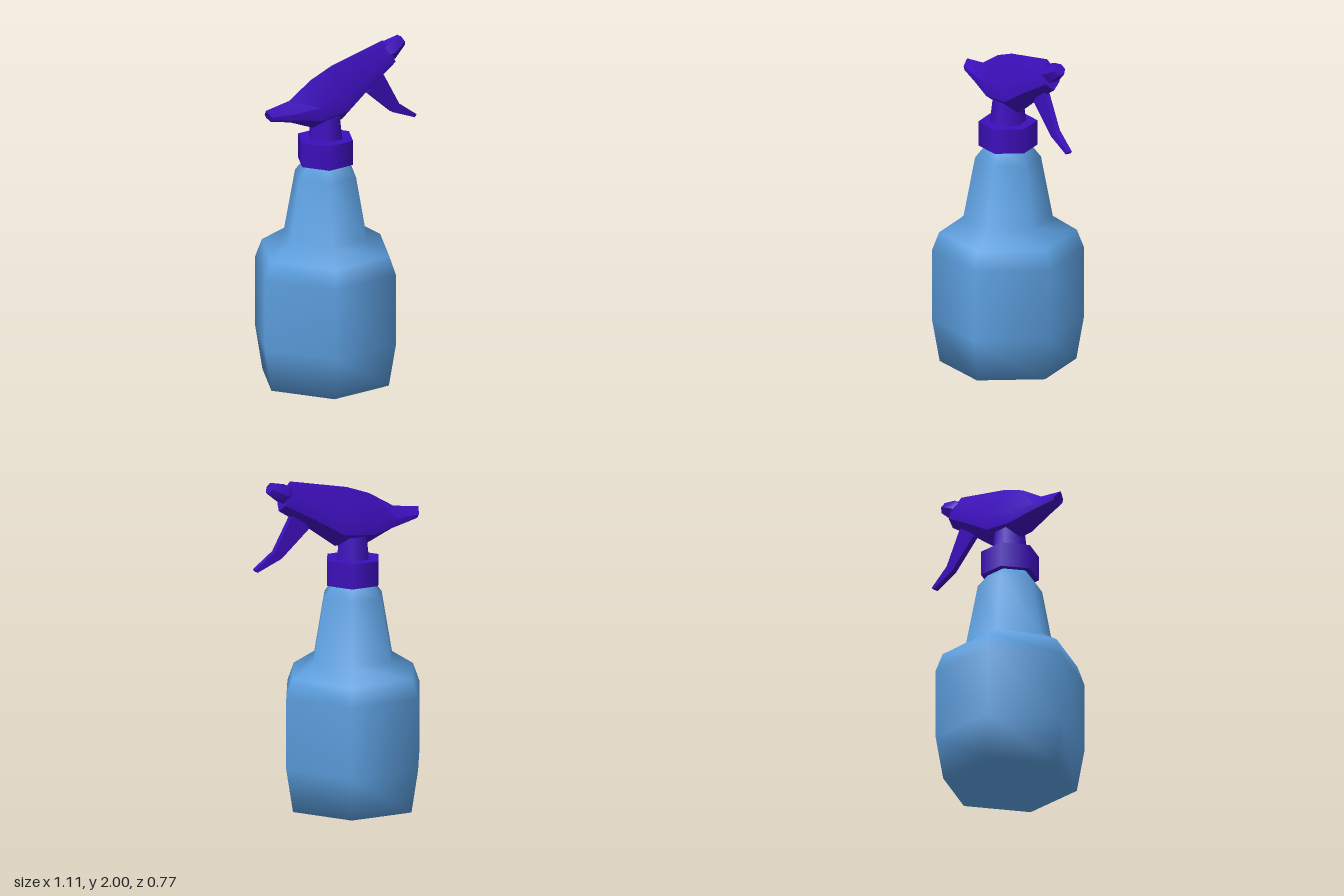
import * as THREE from 'three';
import { toCreasedNormals } from 'three/addons/utils/BufferGeometryUtils.js';

const purple = new THREE.MeshStandardMaterial({ color: 0x3d0fbc });
purple.name = 'purple plastic';
const blue = new THREE.MeshStandardMaterial({ color: 0x5c9fdf });
blue.name = 'blue plastic';

const AXIS_X = -0.11; // bottle axis
const SIDES = 6;
const toPoints = list => list.map(([x, y]) => new THREE.Vector2(x, y));

// Hexagonal ring with corners on the x axis
function hexPrism(topRadius, bottomRadius, y0, y1) {
  const g = new THREE.CylinderGeometry(topRadius, bottomRadius, y1 - y0, SIDES, 1, false, Math.PI / 2);
  return g.translate(AXIS_X, (y0 + y1) / 2, 0);
}

// Ridged six-sided sections, each [topX, topY, bottomX, bottomY, halfWidth]
function loftHead(sections) {
  const positions = [], index = [];
  for (const [tx, ty, bx, by, w] of sections) {
    const ring = [[0, 0], [0.5, 1], [0.77, 1], [1, 0], [0.77, -1], [0.5, -1]];
    for (const [t, side] of ring) positions.push(tx + (bx - tx) * t, ty + (by - ty) * t, side * w);
  }
  const last = (sections.length - 1) * SIDES;
  for (let s = 0; s < last; s += SIDES) {
    for (let j = 0; j < SIDES; j++) {
      const a = s + j, b = s + (j + 1) % SIDES;
      index.push(a, b, b + SIDES, a, b + SIDES, a + SIDES);
    }
  }
  for (let j = 1; j < SIDES - 1; j++) {
    index.push(0, j + 1, j, last, last + j, last + j + 1);
  }
  const g = new THREE.BufferGeometry();
  g.setAttribute('position', new THREE.Float32BufferAttribute(positions, 3));
  g.setIndex(index);
  return toCreasedNormals(g, 0.7);
}

export function createModel() {
  const model = new THREE.Group();
  model.name = 'sprayBottle';
  const add = (name, geometry, material) => {
    const mesh = new THREE.Mesh(geometry, material);
    mesh.name = name;
    model.add(mesh);
    return mesh;
  };

  // Bottle body, softly shaded hexagonal lathe
  const bottle = new THREE.LatheGeometry(toPoints([
    [0, 0], [0.4, 0], [0.445, 0.26], [0.445, 0.69], [0.403, 0.8],
    [0.262, 0.89], [0.193, 1.26], [0.13, 1.34]
  ]), SIDES, Math.PI / 2);
  add('bottle', bottle.translate(AXIS_X, 0, 0), blue);

  // Screw collar and neck
  add('collar', hexPrism(0.173, 0.173, 1.335, 1.485), purple);
  add('neck', hexPrism(0.09, 0.107, 1.48, 1.62), purple);

  // Sprayer head, from back tip to front
  add('sprayHead', loftHead([
    [-0.55, 1.74, -0.515, 1.665, 0.035],
    [-0.38, 1.765, -0.37, 1.63, 0.062],
    [-0.22, 1.86, -0.2, 1.56, 0.091],
    [-0.07, 1.915, 0.01, 1.57, 0.091],
    [0.12, 1.955, 0.19, 1.7, 0.071],
    [0.31, 1.995, 0.385, 1.825, 0.049]
  ]), purple);

  // Nozzle, tilted upward
  const nozzle = add('nozzle', toCreasedNormals(new THREE.LatheGeometry(toPoints([
    [0, 0], [0.05, 0], [0.063, 0.03], [0.037, 0.13], [0, 0.13]
  ]), SIDES), 0.7), purple);
  nozzle.position.set(0.33, 1.912, 0);
  nozzle.rotation.z = -1.12;

  // Trigger, a thin bent lever
  const lever = new THREE.Shape(toPoints([
    [0.19, 1.7], [0.375, 1.54], [0.535, 1.475], [0.55, 1.49],
    [0.42, 1.585], [0.31, 1.78], [0.28, 1.82]
  ]));
  const trigger = new THREE.ExtrudeGeometry(lever, { depth: 0.034, bevelEnabled: false });
  add('trigger', trigger.translate(0, 0, -0.017), purple);

  return model;
}
